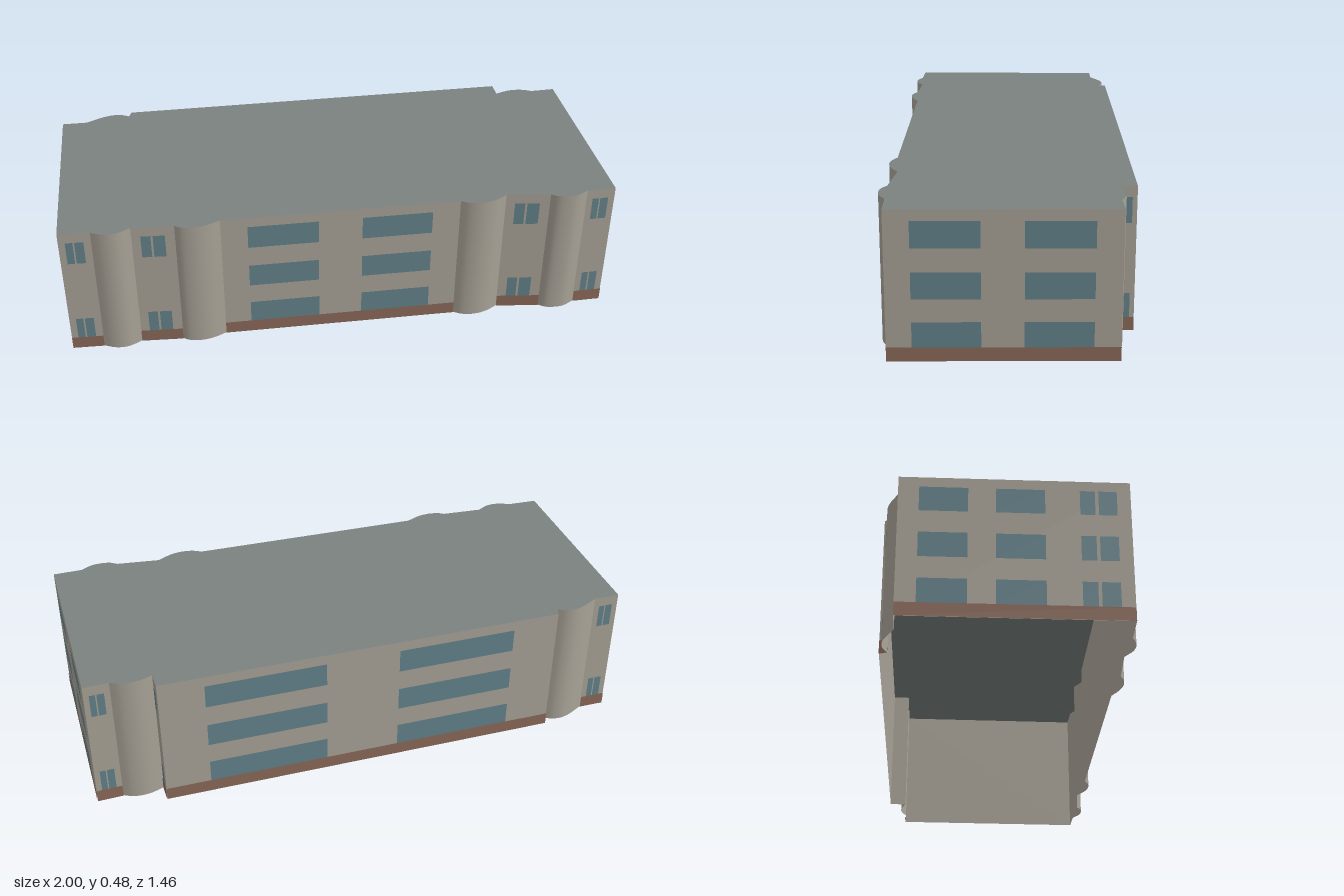
import * as THREE from 'three';
import { mergeGeometries } from 'three/addons/utils/BufferGeometryUtils.js';

const HEIGHT = 0.48, BASE = 0.045, LIFT = 0.002;
const ALL_ROWS = [[0.045, 0.127], [0.2, 0.285], [0.36, 0.445]];
const OUTER_ROWS = [ALL_ROWS[0], ALL_ROWS[2]];

// Window columns as fractions of a wall's length
const WIDE = { columns: [[0.11, 0.405], [0.588, 0.884]], rows: ALL_ROWS };
const PAIR = { columns: [[0.21, 0.44], [0.49, 0.77]], rows: OUTER_ROWS };
const SLIT = { columns: [[0.25, 0.75]], rows: OUTER_ROWS };
const GABLE = { columns: [[0.09, 0.3], [0.42, 0.63], [0.78, 0.845], [0.86, 0.94]], rows: ALL_ROWS };

// Footprint walked with the outside on the right-hand side; [x, z] points.
// Walls with windows are straight, the others are rounded bays.
const WALLS = [
  { name: 'frontWall', p: [[-1, -0.09], [-0.905, -0.04]], win: PAIR },
  { name: 'frontBay', p: [[-0.905, -0.04], [-0.885, -0.015], [-0.86, 0.003], [-0.83, 0.012], [-0.785, 0.01]] },
  { name: 'frontWall', p: [[-0.785, 0.01], [-0.66, 0.08]], win: PAIR },
  { name: 'frontBay', p: [[-0.66, 0.08], [-0.645, 0.102], [-0.61, 0.125], [-0.57, 0.136], [-0.52, 0.137]] },
  { name: 'mainFrontWall', p: [[-0.52, 0.137], [0.21, 0.495]], win: WIDE },
  { name: 'frontBay', p: [[0.21, 0.495], [0.23, 0.522], [0.265, 0.545], [0.31, 0.556], [0.362, 0.553]] },
  { name: 'frontWall', p: [[0.362, 0.553], [0.49, 0.635]], win: PAIR },
  { name: 'frontBay', p: [[0.49, 0.635], [0.505, 0.66], [0.535, 0.68], [0.565, 0.69], [0.61, 0.688]] },
  { name: 'frontWall', p: [[0.61, 0.688], [0.7, 0.73]], win: PAIR },
  { name: 'leftEndWall', p: [[0.7, 0.73], [1, 0.09]], win: WIDE },
  { name: 'backWall', p: [[1, 0.09], [0.92, 0.055]], win: PAIR },
  { name: 'backBay', p: [[0.92, 0.055], [0.9, 0.03], [0.87, 0.01], [0.84, 0], [0.795, -0.005]] },
  { name: 'backReturn', p: [[0.795, -0.005], [0.82, -0.06]], win: SLIT },
  { name: 'mainBackWall', p: [[0.82, -0.06], [-0.44, -0.665]], win: WIDE },
  { name: 'backReturn', p: [[-0.44, -0.665], [-0.46, -0.645]], win: SLIT },
  { name: 'backBay', p: [[-0.46, -0.645], [-0.48, -0.67], [-0.51, -0.687], [-0.55, -0.693], [-0.61, -0.691]] },
  { name: 'backWall', p: [[-0.61, -0.691], [-0.69, -0.73]], win: PAIR },
  { name: 'rightEndWall', p: [[-0.69, -0.73], [-1, -0.09]], win: GABLE },
];

// Vertical strip over a line of [x, z] points, smooth along its length
function strip(points, y0, y1) {
  const position = [], index = [];
  points.forEach(([x, z], i) => {
    position.push(x, y0, z, x, y1, z);
    const a = i * 2;
    if (i) index.push(a - 2, a, a + 1, a - 2, a + 1, a - 1);
  });
  const geometry = new THREE.BufferGeometry();
  geometry.setAttribute('position', new THREE.Float32BufferAttribute(position, 3));
  geometry.setIndex(index);
  geometry.computeVertexNormals();
  return geometry;
}

// Flat panel laid just outside a straight wall, between two fractions
function panel([a, b], u0, u1, y0, y1) {
  const dx = b[0] - a[0], dz = b[1] - a[1], k = LIFT / Math.hypot(dx, dz);
  const at = (u) => [a[0] + dx * u - dz * k, a[1] + dz * u + dx * k];
  return strip([at(u0), at(u1)], y0, y1);
}

function smoothLine(points) {
  const curve = new THREE.CatmullRomCurve3(points.map(([x, z]) => new THREE.Vector3(x, 0, z)));
  return curve.getPoints(12).map((v) => [v.x, v.z]);
}

export function createModel() {
  const building = new THREE.Group();
  building.name = 'building';
  const paint = (color, side = THREE.FrontSide) => new THREE.MeshStandardMaterial({ color, side });
  const wallPaint = paint(0xaaa498, THREE.DoubleSide);
  const roofPaint = paint(0x7a8280, THREE.DoubleSide);
  const glassPaint = paint(0x64838c);
  const basePaint = paint(0x8c6a5a);
  const add = (parent, name, geometry, material) => {
    const mesh = new THREE.Mesh(geometry, material);
    mesh.name = name;
    parent.add(mesh);
  };

  const outline = [];
  for (const { name, p, win } of WALLS) {
    const section = new THREE.Group();
    section.name = name;
    building.add(section);
    const line = win ? p : smoothLine(p);
    outline.push(...line.slice(0, -1));
    add(section, 'wall', strip(line, 0, HEIGHT), wallPaint);
    if (!win) continue;
    // Brown plinth and windows on the straight walls
    add(section, 'plinth', panel(p, 0, 1, 0, BASE), basePaint);
    const panes = win.rows.flatMap(([y0, y1]) => win.columns.map(([u0, u1]) => panel(p, u0, u1, y0, y1)));
    add(section, 'windows', mergeGeometries(panes), glassPaint);
  }

  // Flat roof filling the footprint; the underside of the building is open
  const shape = new THREE.Shape(outline.map(([x, z]) => new THREE.Vector2(x, -z)));
  const roof = new THREE.ShapeGeometry(shape).rotateX(-Math.PI / 2).translate(0, HEIGHT, 0);
  add(building, 'roof', roof, roofPaint);
  return building;
}
